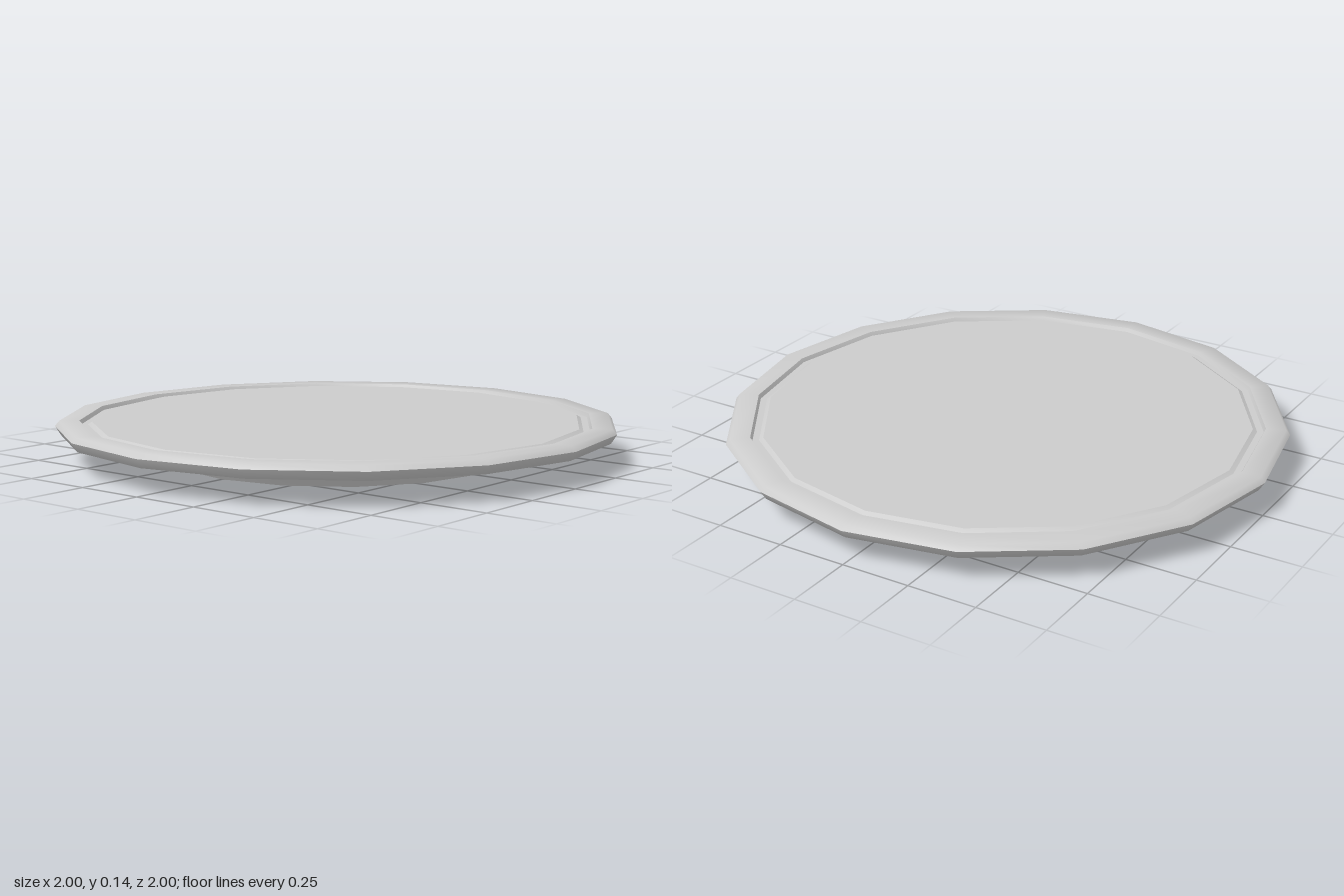
import * as THREE from 'three';
import { toCreasedNormals } from 'three/addons/utils/BufferGeometryUtils.js';

const SIDES = 16;

// Revolve a profile of [radius, height] pairs, listed from underside to top
function turned(name, profile, creaseDegrees) {
  const points = profile.map(([r, y]) => new THREE.Vector2(r, y));
  const geometry = toCreasedNormals(
    new THREE.LatheGeometry(points, SIDES),
    THREE.MathUtils.degToRad(creaseDegrees)
  );
  const material = new THREE.MeshStandardMaterial({ color: 0xcccccc });
  const mesh = new THREE.Mesh(geometry, material);
  mesh.name = name;
  return mesh;
}

export function createModel() {
  const plate = new THREE.Group();
  plate.name = 'plate';

  // Flared foot with a flat bottom
  plate.add(turned('foot', [[0, 0], [0.605, 0], [0.64, 0.047]], 40));

  // Shallow sloping underside running into the bevelled rim
  plate.add(turned('rim', [
    [0.64, 0.047], [0.98, 0.09], [1, 0.122], [0.985, 0.14], [0.915, 0.14],
  ], 60));

  // Narrow groove inside the rim, then the flat top
  plate.add(turned('top', [
    [0.915, 0.14], [0.908, 0.126], [0.885, 0.126], [0.87, 0.135], [0, 0.135],
  ], 25));

  return plate;
}
